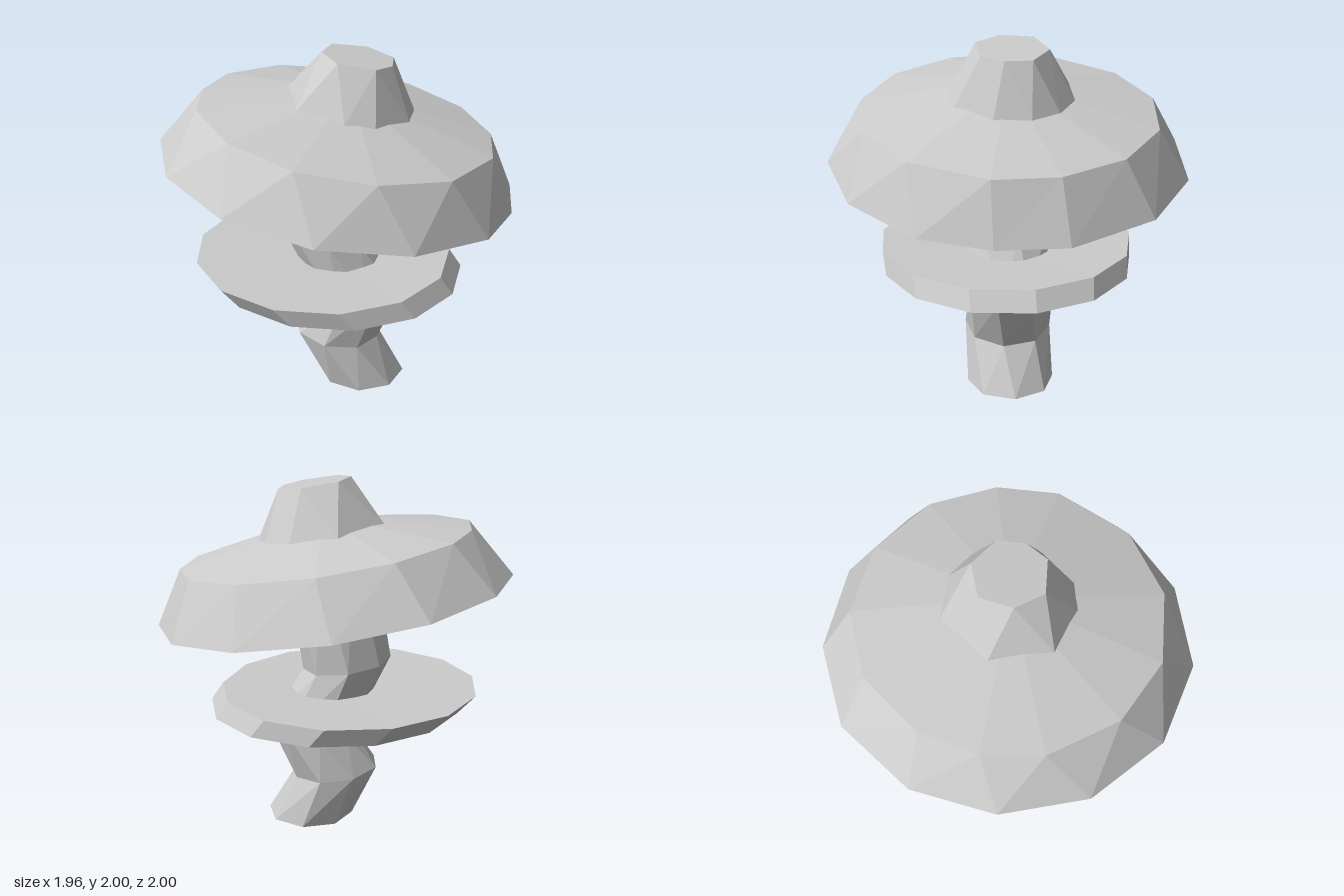
import * as THREE from 'three';
import { ConvexGeometry } from 'three/addons/geometries/ConvexGeometry.js';

const material = new THREE.MeshStandardMaterial({ color: 0xcccccc, flatShading: true });

// Ring from an [x, z] outline lying on the tilted plane y = height + slope * x
const tilted = (outline, height, slope) =>
  outline.map(([x, z]) => new THREE.Vector3(x, height + slope * x, z));

// Regular outline of n sides around (cx, 0)
const circle = (n, radius, cx, phase) =>
  Array.from({ length: n }, (_, i) => {
    const a = phase + (i / n) * Math.PI * 2;
    return [cx + radius * Math.cos(a), radius * Math.sin(a)];
  });

function part(name, geometry) {
  const mesh = new THREE.Mesh(geometry, material);
  mesh.name = name;
  return mesh;
}

// Skin over rings from bottom to top, closed by a fan to a centre point at each end
function loft(rings, bottom, top) {
  const points = [];
  const n = rings[0].length;
  const last = rings[rings.length - 1];
  const bottomCentre = new THREE.Vector3(...bottom);
  const topCentre = new THREE.Vector3(...top);
  for (let i = 0; i < n; i++) {
    const j = (i + 1) % n;
    for (let k = 0; k + 1 < rings.length; k++) {
      const a = rings[k], b = rings[k + 1];
      points.push(a[j], a[i], b[i], a[j], b[i], b[j]);
    }
    points.push(bottomCentre, rings[0][i], rings[0][j]);
    points.push(topCentre, last[j], last[i]);
  }
  const geometry = new THREE.BufferGeometry().setFromPoints(points);
  geometry.computeVertexNormals();
  return geometry;
}

export function createModel() {
  const group = new THREE.Group();
  group.name = 'mushroom';

  // Crooked, slightly twisting stem: [centre x, centre y, tilt] of each bend
  const bends = [
    [0.153, 0, 0], [0, 0.29, -0.125], [0.145, 0.55, 0.15],
    [-0.065, 0.94, -0.15], [0.045, 1.6, -0.13],
  ];
  const stemRings = bends.map(([x, y, slope], i) =>
    tilted(circle(8, 0.25, x, i * 0.2), y - slope * x, slope));
  group.add(part('stem', loft(stemRings, [0.153, 0, 0], [0.045, 1.594, 0])));

  // Thin collar around the stem, its rim sheared sideways and its top slightly dished
  group.add(part('collar', loft([
    tilted(circle(13, 0.72, 0.005, -0.1), 0.703, -0.005),
    tilted(circle(13, 0.735, -0.08, -0.1), 0.807, -0.008),
  ], [0, 0.68, 0], [-0.02, 0.788, 0])));

  // Tilted cap: hollow underside, flared rim, shoulder and a shallow crown
  const rim = [
    [-0.15, -1], [0.35, -0.95], [0.75, -0.67], [0.98, -0.2], [0.97, 0.18], [0.83, 0.55], [0.46, 0.88],
    [-0.02, 1], [-0.49, 0.86], [-0.84, 0.51], [-0.98, 0.05], [-0.9, -0.41], [-0.6, -0.81],
  ];
  const shoulder = [
    [-0.04, -0.83], [0.37, -0.77], [0.69, -0.52], [0.85, -0.17], [0.85, 0.18], [0.63, 0.58], [0.27, 0.79],
    [-0.14, 0.8], [-0.49, 0.61], [-0.72, 0.26], [-0.75, -0.06], [-0.67, -0.38], [-0.41, -0.69],
  ];
  group.add(part('cap', loft([tilted(rim, 1.325, -0.158), tilted(shoulder, 1.623, -0.156)],
    [0, 1.57, 0], [0.07, 1.785, 0])));

  // Knob: nine sides at the base narrowing to seven on top
  const knobBase = [
    [-0.07, -0.35], [0.19, -0.345], [0.34, -0.24], [0.42, -0.08], [0.4, 0.12],
    [0.23, 0.31], [0.07, 0.345], [-0.19, 0.25], [-0.28, -0.08],
  ];
  const knobTop = [
    [-0.04, -0.15], [0.15, -0.21], [0.3, -0.1], [0.3, 0.05],
    [0.22, 0.165], [0.02, 0.175], [-0.08, 0.03],
  ];
  group.add(part('knob', new ConvexGeometry(
    [...tilted(knobBase, 1.718, -0.154), ...tilted(knobTop, 1.987, -0.158)])));

  return group;
}
